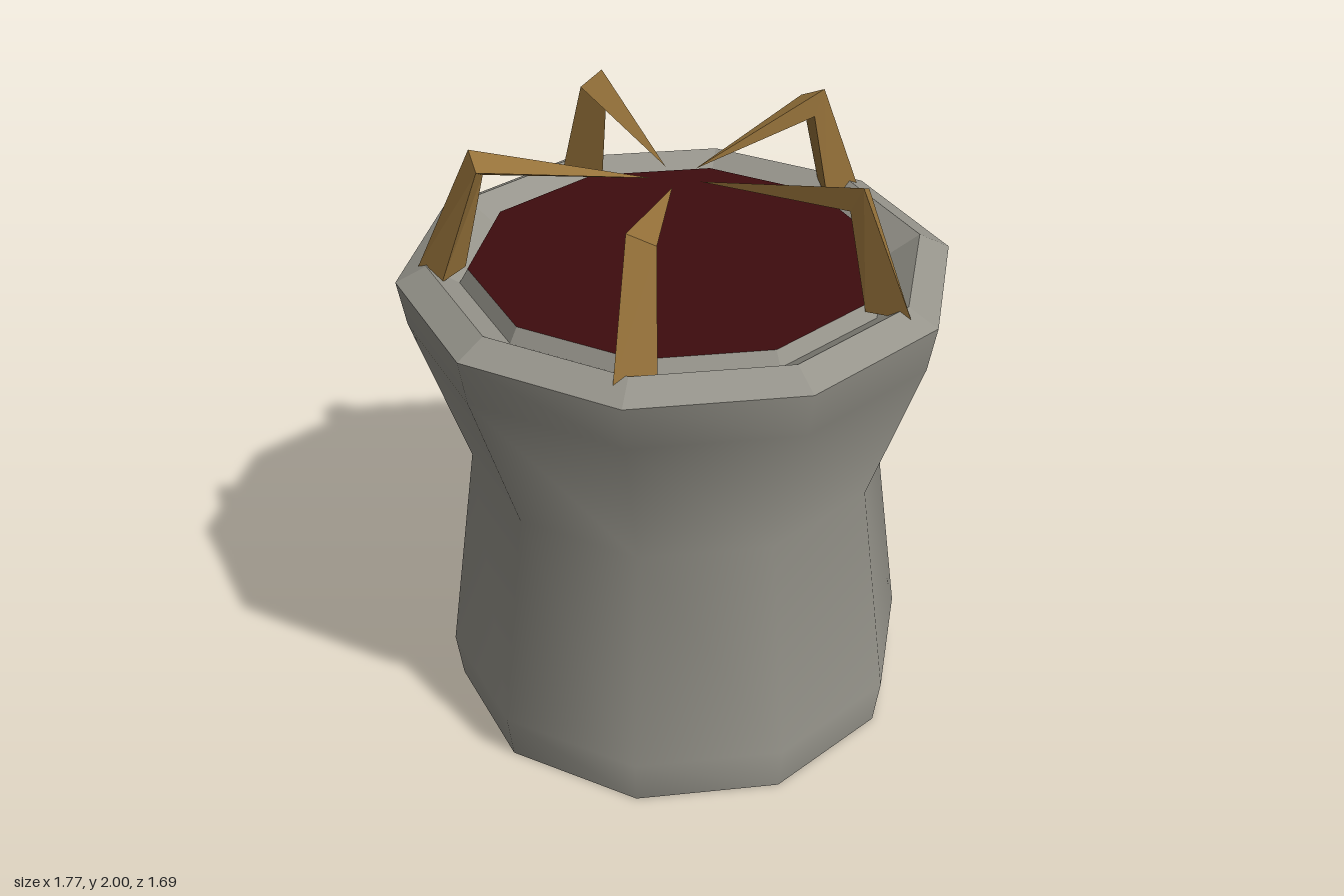
import * as THREE from 'three';

const SIDES = 10;

// Ten-sided lathe with a corner on the x axis
function lathe(profile, flat) {
  const points = profile.map(([r, y]) => new THREE.Vector2(r, y));
  let geometry = new THREE.LatheGeometry(points, SIDES, Math.PI / 2);
  if (flat) {
    geometry = geometry.toNonIndexed();
    geometry.computeVertexNormals();
  }
  return geometry;
}

// Bent three-sided claw: base triangle, elbow triangle, then a sharp tip
function clawGeometry() {
  const base = [[-0.813, 1.61, -0.04], [-0.742, 1.61, 0.075], [-0.665, 1.6, -0.04]];
  const elbow = [[-0.635, 2, -0.033], [-0.618, 1.96, 0.052], [-0.595, 1.915, -0.03]];
  const tip = [-0.08, 1.885, 0];
  const corners = [base[0], base[2], base[1]];
  for (let i = 0; i < 3; i++) {
    const j = (i + 1) % 3;
    corners.push(base[i], base[j], elbow[j], base[i], elbow[j], elbow[i]);
    corners.push(elbow[i], elbow[j], tip);
  }
  const geometry = new THREE.BufferGeometry();
  geometry.setAttribute('position', new THREE.Float32BufferAttribute(corners.flat(), 3));
  geometry.computeVertexNormals();
  return geometry;
}

export function createModel() {
  const stone = new THREE.MeshStandardMaterial({ color: 0x96948b });
  stone.name = 'stone';
  const liquidRed = new THREE.MeshStandardMaterial({ color: 0x3e0c0e });
  liquidRed.name = 'dark red';
  const bronze = new THREE.MeshStandardMaterial({ color: 0x96723a });
  bronze.name = 'bronze';

  const model = new THREE.Group();
  model.name = 'clawedBasin';
  const add = (name, geometry, material, parent = model) => {
    const mesh = new THREE.Mesh(geometry, material);
    mesh.name = name;
    parent.add(mesh);
    return mesh;
  };

  // Waisted outer wall, smooth
  add('wall', lathe([[0.765, 0], [0.787, 0.16], [0.685, 0.92], [0.86, 1.43], [0.887, 1.58]]), stone);

  // Underside
  add('underside', new THREE.CircleGeometry(0.765, SIDES).rotateX(Math.PI / 2), stone);

  // Faceted rim with a gutter round the pool
  add('rim', lathe([[0.887, 1.58], [0.788, 1.63], [0.688, 1.565], [0.66, 1.612]], true), stone);

  // Pool surface
  const pool = add('pool', new THREE.CircleGeometry(0.661, SIDES).rotateX(-Math.PI / 2), liquidRed);
  pool.position.y = 1.612;

  // Five claws reaching over the pool
  const claws = new THREE.Group();
  claws.name = 'claws';
  model.add(claws);
  const claw = clawGeometry();
  for (let i = 0; i < 5; i++) {
    add('claw', claw, bronze, claws).rotation.y = (i * Math.PI * 2) / 5;
  }

  return model;
}
